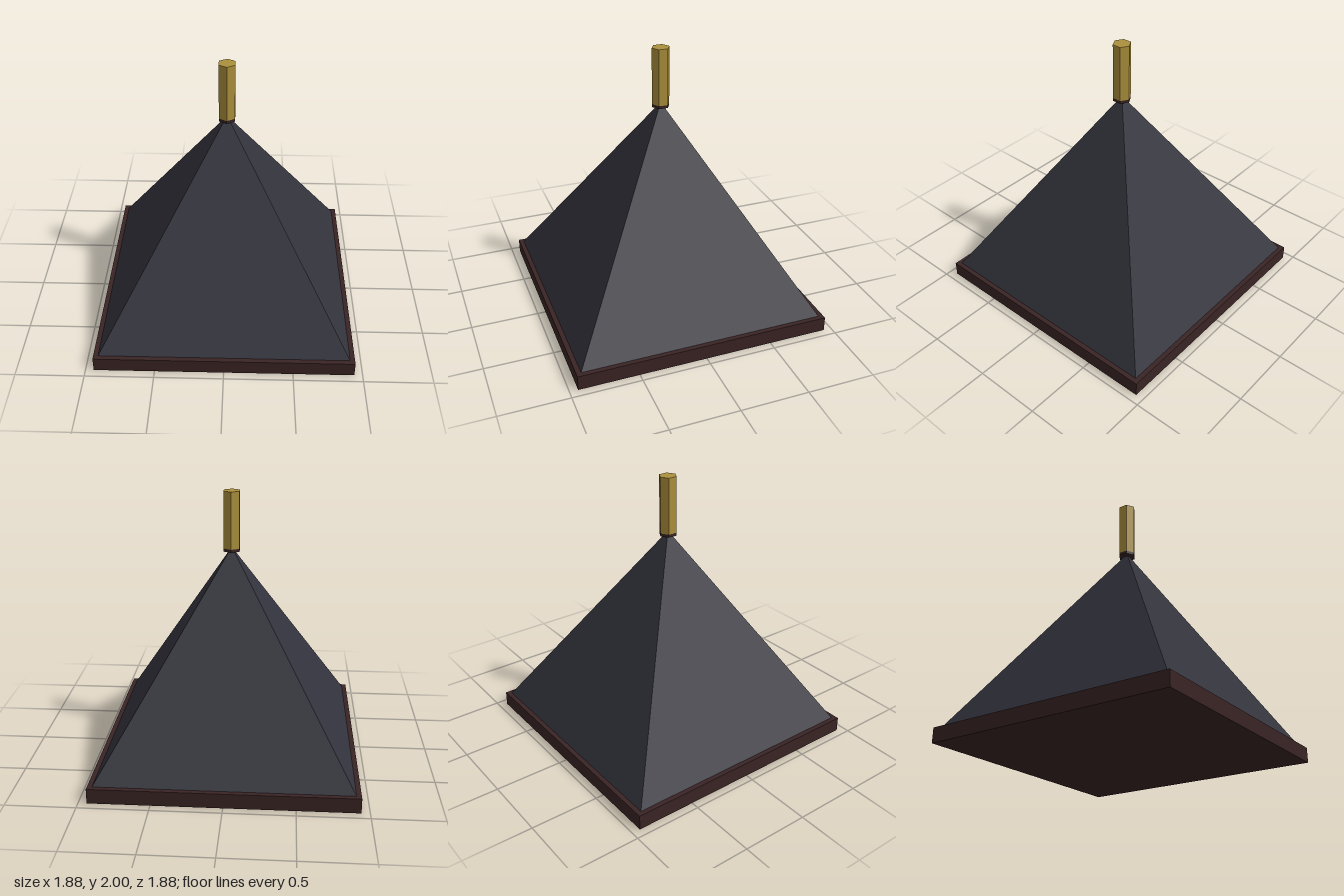
import * as THREE from 'three';

const material = (name, color) => {
  const m = new THREE.MeshStandardMaterial({ color });
  m.name = name;
  return m;
};

export function createModel() {
  const slate = material('slate', 0x33333d);
  const wood = material('dark wood', 0x3a2424);
  const brass = material('brass', 0xac903c);
  const model = new THREE.Group();

  // Adds a part standing on height y
  const add = (name, geometry, mat, y, height) => {
    const mesh = new THREE.Mesh(geometry, mat);
    mesh.name = name;
    mesh.position.y = y + height / 2;
    model.add(mesh);
  };
  // Flat-sided prism, cone or pyramid with hard edges
  const prism = (top, bottom, height, sides) => {
    const g = new THREE.CylinderGeometry(top, bottom, height, sides).toNonIndexed();
    g.computeVertexNormals();
    return g;
  };

  // Square eaves slab
  add('eaves', new THREE.BoxGeometry(1.88, 0.11, 1.88), wood, 0, 0.11);

  // Four-sided roof, turned so its faces meet the axes
  const roof = new THREE.ConeGeometry(0.905 * Math.SQRT2, 1.48, 4).toNonIndexed();
  roof.computeVertexNormals();
  roof.rotateY(Math.PI / 4);
  add('roof', roof, slate, 0.11, 1.48);

  // Hexagonal finial on a thin collar
  add('finialCollar', prism(0.066, 0.066, 0.022, 6), wood, 1.562, 0.022);
  add('finial', prism(0.066, 0.066, 0.416, 6), brass, 1.584, 0.416);

  return model;
}
